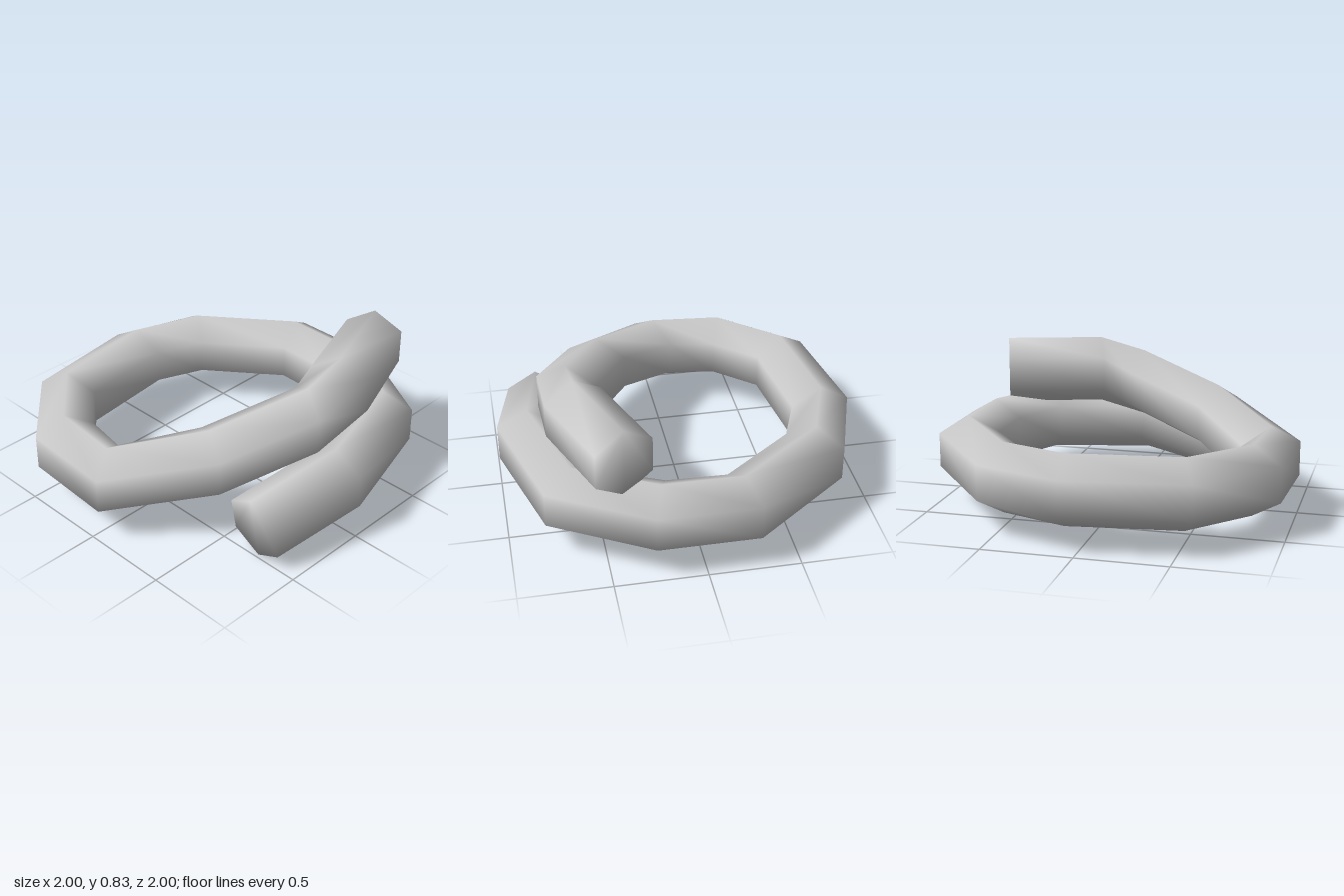
import * as THREE from 'three';

// Mitred stations along the coil: outer x, z, inner x, z, centre height
const STATIONS = [
  [0.56, -0.87, 0.25, -0.76, 0.64],
  [0.755, -0.35, 0.44, -0.23, 0.635],
  [0.76, 0.06, 0.45, -0.10, 0.565],
  [0.525, 0.56, 0.22, 0.39, 0.43],
  [0.06, 1.0, -0.11, 0.70, 0.305],
  [-0.48, 0.97, -0.37, 0.655, 0.305],
  [-0.905, 0.59, -0.60, 0.45, 0.305],
  [-1.0, -0.08, -0.665, -0.11, 0.305],
  [-0.835, -0.57, -0.56, -0.375, 0.305],
  [-0.28, -1.0, -0.16, -0.685, 0.305],
  [0.27, -1.0, 0.17, -0.675, 0.305],
  [0.81, -0.69, 0.51, -0.52, 0.305],
  [1.0, -0.01, 0.66, -0.04, 0.295, 0.02],
  [0.90, 0.53, 0.57, 0.50, 0.20, 0.035], // last value tips the section forward
];
const SIDES = 6;
const RADIUS = 0.195;

// Hexagonal sections joined into one smooth, capped tube
function coilGeometry() {
  const positions = [], index = [];
  for (const [ox, oz, ix, iz, y, tip = 0] of STATIONS) {
    const cx = (ox + ix) / 2, cz = (oz + iz) / 2;
    for (let j = 0; j < SIDES; j++) {
      const a = (j / SIDES) * Math.PI * 2;
      const side = Math.sin(a) / Math.sin(Math.PI / 3) / 2;
      const up = Math.cos(a);
      positions.push(
        cx + (ox - ix) * side,
        y + RADIUS * up,
        cz + (oz - iz) * side + tip * up
      );
    }
  }
  // Side walls
  for (let i = 0; i < STATIONS.length - 1; i++) {
    for (let j = 0; j < SIDES; j++) {
      const k = (j + 1) % SIDES;
      const a = i * SIDES + j, b = i * SIDES + k;
      index.push(a, a + SIDES, b, b, a + SIDES, b + SIDES);
    }
  }
  // End caps
  const last = (STATIONS.length - 1) * SIDES;
  for (let j = 1; j < SIDES - 1; j++) {
    index.push(0, j, j + 1, last, last + j + 1, last + j);
  }
  const geometry = new THREE.BufferGeometry();
  geometry.setAttribute('position', new THREE.Float32BufferAttribute(positions, 3));
  geometry.setIndex(index);
  geometry.computeVertexNormals();
  return geometry;
}

export function createModel() {
  const group = new THREE.Group();
  group.name = 'coiledRing';
  const coil = new THREE.Mesh(coilGeometry(), new THREE.MeshStandardMaterial({ color: 0xcccccc }));
  coil.name = 'coil';
  group.add(coil);
  return group;
}
